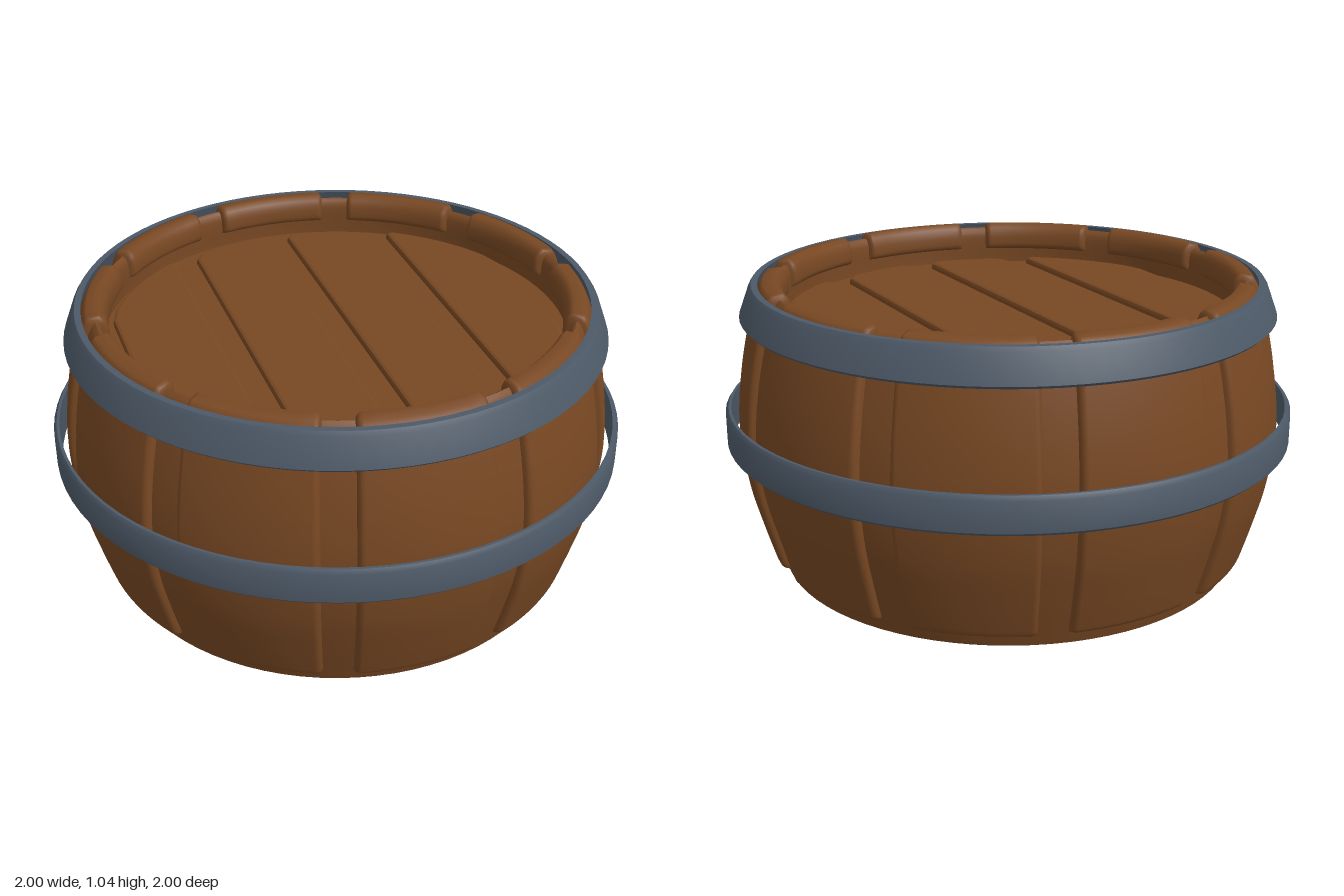
import * as THREE from 'three';
import { toCreasedNormals } from 'three/addons/utils/BufferGeometryUtils.js';

const wood = new THREE.MeshStandardMaterial({ color: 0x784823 });
wood.name = 'brown wood';
const iron = new THREE.MeshStandardMaterial({ color: 0x4d5967 });
iron.name = 'grey iron';

const STAVES = 10;
const HALF_ANGLE = 0.254;
const THICKNESS = 0.025;
const LID_Y = 0.88;

// Barrel wall (radius, height): up the outside, over the rim and down the inside
const wall = new THREE.CatmullRomCurve3(
  [
    [0.82, 0.015], [0.87, 0.18], [0.911, 0.34], [0.93, 0.52], [0.915, 0.7],
    [0.873, 0.9], [0.842, 0.995], [0.824, 1.015], [0.808, 0.998], [0.803, LID_Y],
  ].map(([r, y]) => new THREE.Vector3(r, y, 0)),
  false, 'centripetal'
);

function addMesh(parent, name, geometry, material) {
  const mesh = new THREE.Mesh(geometry, material);
  mesh.name = name;
  parent.add(mesh);
  return mesh;
}

// Height of a stave's softened edge at a distance from that edge
function edgeHeight(distance) {
  const t = Math.min(distance / 0.022, 1);
  return Math.sqrt(1 - (1 - t) * (1 - t));
}

// One stave: a patch of the wall pushed outwards, with rounded borders
function staveGeometry() {
  const border = [0, 0.003, 0.008, 0.015, 0.024];
  const rows = [];
  const length = wall.getLength();
  const start = 0.03, end = 0.955;
  const span = (end - start) * length;
  for (const d of border) rows.push(d);
  for (let i = 1; i < 84; i++) rows.push(0.024 + (span - 0.048) * i / 84);
  for (const d of [...border].reverse()) rows.push(span - d);

  const width = 2 * HALF_ANGLE * 0.9;
  const columns = [...border];
  for (let j = 1; j < 8; j++) columns.push(0.024 + (width - 0.048) * j / 8);
  for (const d of [...border].reverse()) columns.push(width - d);

  const positions = [], indices = [];
  rows.forEach((s, i) => {
    const t = start + s / length;
    const p = wall.getPointAt(t);
    const tangent = wall.getTangentAt(t);
    const hv = edgeHeight(Math.min(s, span - s));
    columns.forEach((c, j) => {
      const h = hv * edgeHeight(Math.min(c, width - c)) * (THICKNESS + 0.003) - 0.003;
      const r = p.x + tangent.y * h;
      const y = p.y - tangent.x * h;
      const a = (c / width * 2 - 1) * HALF_ANGLE;
      positions.push(r * Math.sin(a), y, r * Math.cos(a));
      if (i && j) {
        const n = columns.length, d = i * n + j, b = d - n;
        indices.push(b - 1, b, d, b - 1, d, d - 1);
      }
    });
  });
  const g = new THREE.BufferGeometry();
  g.setAttribute('position', new THREE.Float32BufferAttribute(positions, 3));
  g.setIndex(indices);
  g.computeVertexNormals();
  return g;
}

// Iron band with bevelled edges, leaning inwards when the two radii differ
function hoopGeometry(bottomRadius, topRadius, y0, y1, thickness) {
  const b = 0.01;
  const profile = [
    [bottomRadius - thickness, y0], [bottomRadius - b, y0], [bottomRadius, y0 + b],
    [topRadius, y1 - b * 1.5], [topRadius - b, y1], [topRadius - thickness, y1],
    [bottomRadius - thickness, y0],
  ].map(([r, y]) => new THREE.Vector2(r, y));
  return toCreasedNormals(new THREE.LatheGeometry(profile, 80), 0.6);
}

// Lid plank between two x positions, its ends following the round rim
function plankGeometry(x0, x1, radius) {
  const bevel = 0.012;
  const ends = [];
  for (let i = 0; i <= 12; i++) {
    const x = x0 + (x1 - x0) * i / 12;
    const corner = i === 0 || i === 12 ? 0.025 : 0;
    ends.push(new THREE.Vector2(x, Math.sqrt(radius * radius - x * x) - corner));
  }
  const far = ends.map((p) => new THREE.Vector2(p.x, -p.y));
  const shape = new THREE.Shape([...far, ...ends.reverse()]);
  const g = new THREE.ExtrudeGeometry(shape, {
    depth: 0.02, bevelEnabled: true, bevelThickness: bevel,
    bevelSize: bevel, bevelOffset: -bevel, bevelSegments: 2,
  });
  g.rotateX(-Math.PI / 2);
  return g;
}

export function createModel() {
  const barrel = new THREE.Group();
  barrel.name = 'barrel';

  // Inner shell with flat base and sunken lid
  const shell = [
    new THREE.Vector2(0, 0), new THREE.Vector2(0.815, 0),
    ...wall.getSpacedPoints(90).map((p) => new THREE.Vector2(p.x, p.y)),
    new THREE.Vector2(0, LID_Y),
  ];
  addMesh(barrel, 'shell', toCreasedNormals(new THREE.LatheGeometry(shell, 80), 0.7), wood);

  // Ring of raised staves
  const staves = new THREE.Group();
  staves.name = 'staves';
  barrel.add(staves);
  const stave = staveGeometry();
  for (let i = 0; i < STAVES; i++) {
    addMesh(staves, 'stave', stave, wood).rotation.y = i * Math.PI * 2 / STAVES;
  }

  // Lid planks
  const lid = new THREE.Group();
  lid.name = 'lidPlanks';
  barrel.add(lid);
  for (const [x0, x1, radius] of [[0.045, 0.335, 0.755], [0.42, 0.73, 0.785]]) {
    for (const [a, b] of [[x0, x1], [-x1, -x0]]) {
      addMesh(lid, 'lidPlank', plankGeometry(a, b, radius), wood).position.y = LID_Y - 0.008;
    }
  }

  // Iron hoops
  addMesh(barrel, 'topHoop', hoopGeometry(0.935, 0.9, 0.9, 1.02, 0.032), iron);
  addMesh(barrel, 'middleHoop', hoopGeometry(1, 1, 0.46, 0.59, 0.02), iron);

  return barrel;
}
